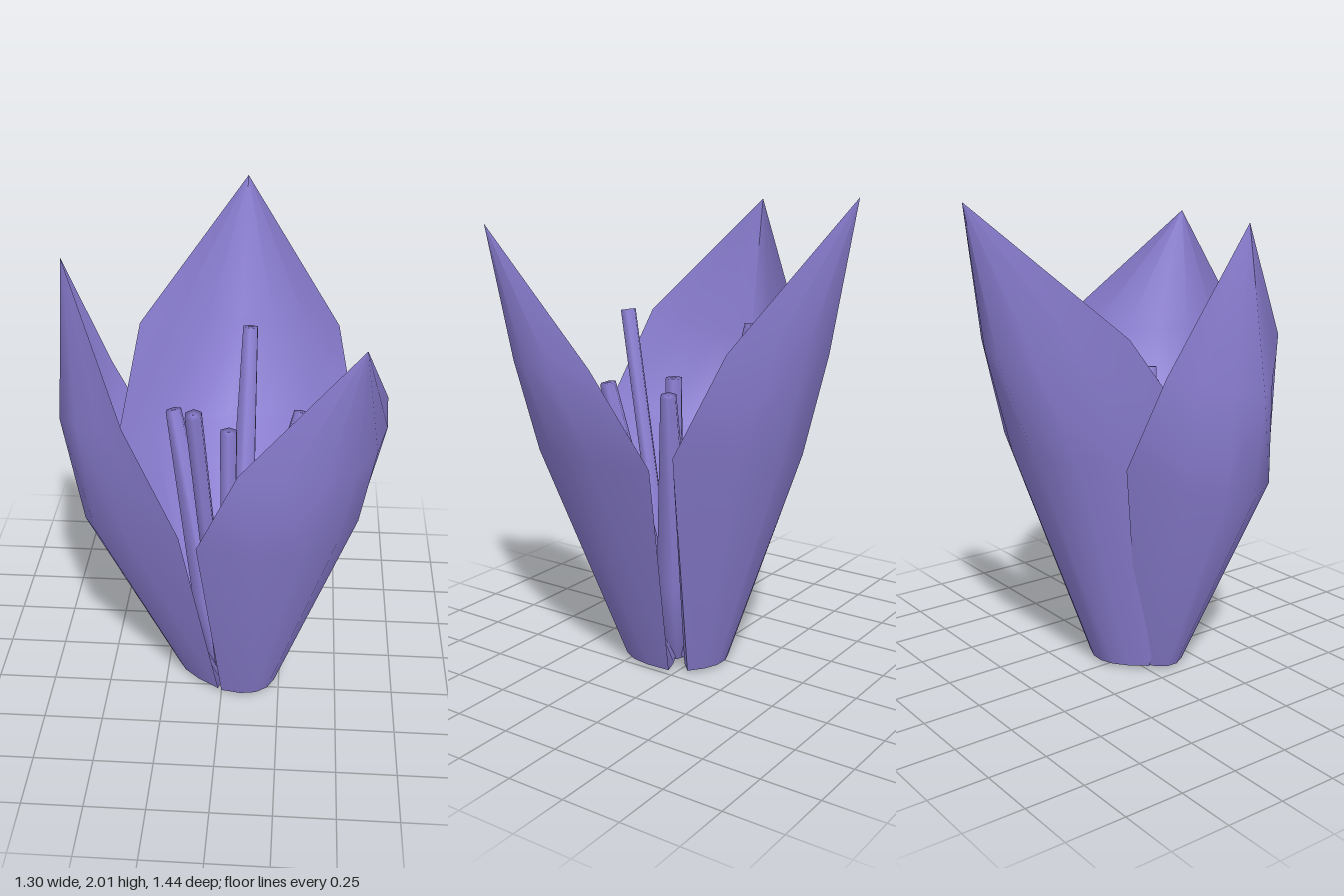
import * as THREE from 'three';

const petalMat = new THREE.MeshStandardMaterial({ color: 0x8f82d8, side: THREE.DoubleSide });
const COLS = 6;

// Curved sheet: each row is [edge, centre, edge, power]; a higher power gives a rounder arc
function sheet(name, rows) {
  const pos = [], index = [];
  for (const [a, c, b, power = 2] of rows) {
    for (let i = 0; i <= COLS; i++) {
      const s = (i / COLS) * 2 - 1;
      for (let k = 0; k < 3; k++) {
        const mid = (a[k] + b[k]) / 2, half = (b[k] - a[k]) / 2;
        pos.push(mid + half * s + (c[k] - mid) * (1 - Math.abs(s) ** power));
      }
    }
  }
  for (let r = 0; r < rows.length - 1; r++) {
    for (let i = 0; i < COLS; i++) {
      const p = r * (COLS + 1) + i, q = p + COLS + 1;
      index.push(p, p + 1, q, p + 1, q + 1, q);
    }
  }
  const g = new THREE.BufferGeometry();
  g.setAttribute('position', new THREE.Float32BufferAttribute(pos, 3));
  g.setIndex(index);
  g.computeVertexNormals();
  const mesh = new THREE.Mesh(g, petalMat);
  mesh.name = name;
  return mesh;
}

// Petal: outer sheet, inner sheet that thickens toward the root, and a flat underside
function petal(name, rows, rootInner) {
  const group = new THREE.Group();
  group.name = name;
  const inner = rows.map(([a, c, b, power], r) => {
    if (r === 0) return [a, rootInner, b];
    if (r === rows.length - 1) return [a, c, b];
    const pulled = c.map((v, k) => v + ((a[k] + b[k]) / 2 - v) * 0.06);
    return [a, pulled, b, power];
  });
  group.add(sheet('outerFace', rows), sheet('innerFace', inner), sheet('underside', [rows[0], inner[0]]));
  return group;
}

// Six-sided stalk between two points, swelling to rMid in its lower part
function stalk(name, from, to, rBase, rMid, rTip) {
  const a = new THREE.Vector3(...from);
  const dir = new THREE.Vector3(...to).sub(a);
  const len = dir.length();
  const profile = [[0, 0], [rBase, 0], [rMid, len * 0.3], [rTip, len], [0, len]];
  const points = profile.map(([r, y]) => new THREE.Vector2(r, y));
  const mesh = new THREE.Mesh(new THREE.LatheGeometry(points, 6), petalMat);
  mesh.position.copy(a);
  mesh.quaternion.setFromUnitVectors(new THREE.Vector3(0, 1, 0), dir.normalize());
  mesh.name = name;
  return mesh;
}

export function createModel() {
  const flower = new THREE.Group();
  flower.name = 'flower';

  // Three petals, listed from base to tip
  const backTip = [0.05, 2, -0.72], frontTip = [0.52, 1.87, 0.71], sideTip = [-0.62, 1.93, 0.1];
  flower.add(
    petal('backPetal', [
      [[0.2, 0, -0.05], [0.02, 0, -0.125], [-0.15, 0, 0.01]],
      [[0.55, 1.05, -0.23], [-0.02, 0.97, -0.465], [-0.46, 1.05, 0.04]],
      [[0.46, 1.45, -0.41], [0.03, 1.4, -0.6], [-0.38, 1.5, -0.27], 1.5],
      [backTip, backTip, backTip],
    ], [0.03, 0, 0.06]),
    petal('frontPetal', [
      [[0, 0, 0.3], [0.2, 0, 0.27], [0.24, 0, 0.02]],
      [[-0.07, 1, 0.65], [0.46, 0.95, 0.51], [0.59, 1, -0.15]],
      [[0.09, 1.37, 0.72], [0.52, 1.33, 0.58], [0.65, 1.37, 0.08]],
      [frontTip, frontTip, frontTip],
    ], [0.06, 0, 0.12]),
    petal('sidePetal', [
      [[-0.1, 0, -0.01], [-0.2, 0, 0.12], [-0.015, 0, 0.29]],
      [[-0.32, 0.97, -0.24], [-0.57, 0.83, 0.21], [-0.14, 1.02, 0.61]],
      [[-0.49, 1.36, -0.18], [-0.655, 1.27, 0.17], [-0.35, 1.43, 0.52], 1.2],
      [sideTip, sideTip, sideTip],
    ], [-0.01, 0, 0.13]),
  );

  // Five stamens around a pistil
  const stamens = [
    [[0.05, 0, 0.06], [0.085, 1.49, -0.285], 0.05, 0.065],
    [[0, 0, 0.17], [-0.09, 1.47, 0.46], 0.035, 0.035],
    [[0, 0, 0.14], [-0.22, 1.22, -0.03], 0.06, 0.08],
    [[0.06, 0, 0.1], [0.31, 1.22, -0.04], 0.06, 0.085],
    [[0.07, 0, 0.15], [0.25, 1.22, 0.31], 0.06, 0.075],
  ];
  for (const [from, to, rBase, rMid] of stamens) flower.add(stalk('stamen', from, to, rBase, rMid, 0.035));
  flower.add(stalk('pistil', [0.02, 0, 0.13], [0.02, 1.22, 0.14], 0.035, 0.035, 0.038));
  return flower;
}
